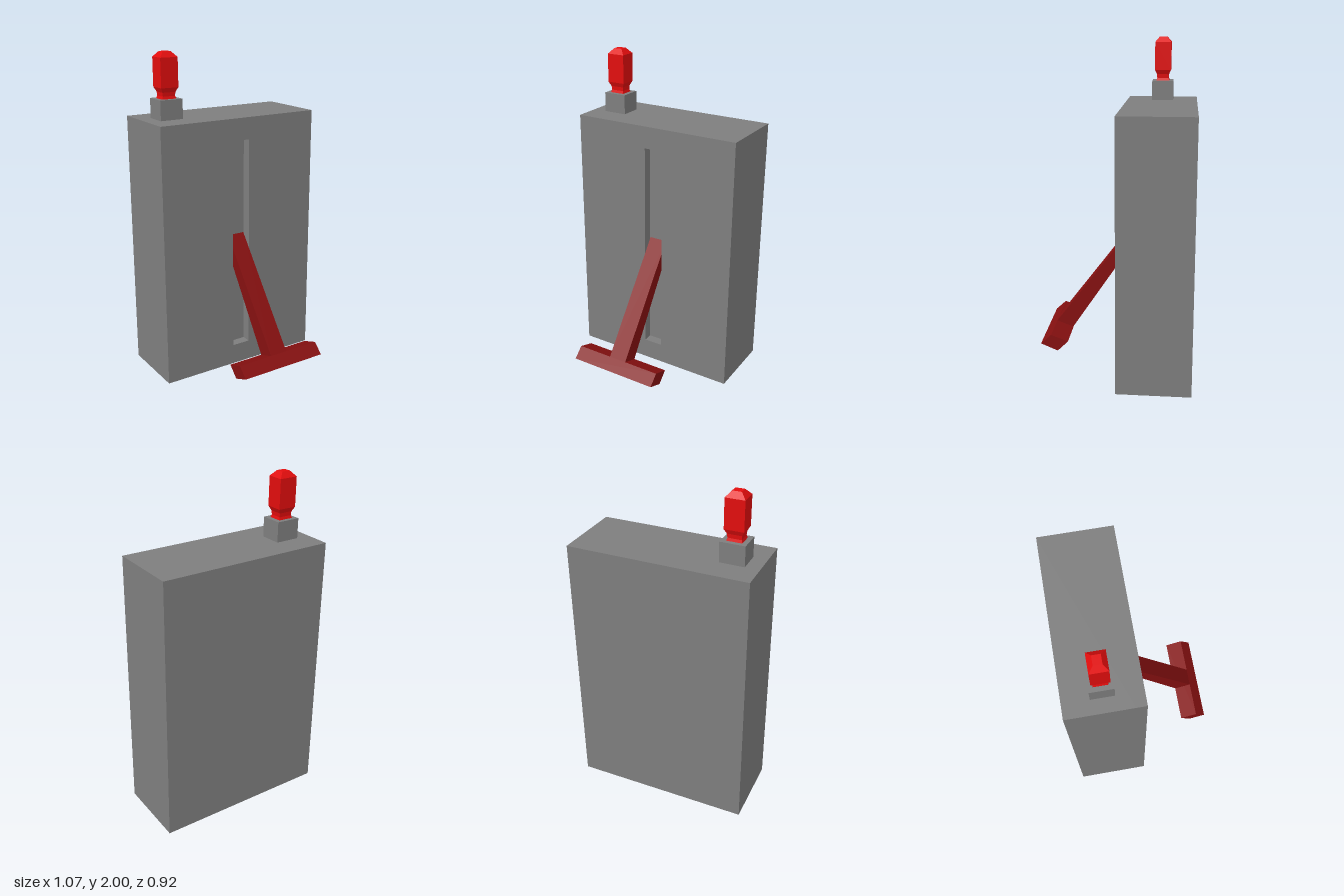
import * as THREE from 'three';

const material = (name, color, flatShading = false) => {
  const m = new THREE.MeshStandardMaterial({ color });
  m.name = name;
  m.flatShading = flatShading;
  return m;
};

export function createModel() {
  const group = new THREE.Group();
  const grey = material('grey casing', 0x7e7e7e);
  const darkRed = material('dark red lever', 0x851010);
  const red = material('bright red lamp', 0xe20d0d, true);

  const add = (name, geometry, mat, x = 0, y = 0, z = 0) => {
    const mesh = new THREE.Mesh(geometry, mat);
    mesh.name = name;
    mesh.position.set(x, y, z);
    group.add(mesh);
    return mesh;
  };
  const points = (list) => list.map(([a, b]) => new THREE.Vector2(a, b));
  const rectangle = (x, y0, y1) => points([[-x, y0], [x, y0], [x, y1], [-x, y1]]);

  // Casing: a solid back and a front plate with the lever slot cut through it
  add('casing', new THREE.BoxGeometry(1.066, 1.61, 0.38), grey, 0, 0.805, -0.27);
  const plate = new THREE.Shape(rectangle(0.533, 0, 1.61));
  plate.holes.push(new THREE.Path(rectangle(0.06, 0.13, 1.475)));
  add('slottedFront', new THREE.ExtrudeGeometry(plate, { depth: 0.06, bevelEnabled: false }), grey, 0, 0, -0.08);

  // Lever parts: (z, y) side profiles extruded across x
  const across = (profile, width) => new THREE.ExtrudeGeometry(
    new THREE.Shape(points(profile)), { depth: width, bevelEnabled: false },
  ).translate(0, 0, -width / 2).rotateY(-Math.PI / 2);
  add('leverArm', across([[-0.08, 0.76], [0.295, 0.2], [0.397, 0.238], [-0.08, 0.868]], 0.113), darkRed);
  add('leverHandle', across([[0.357, 0.137], [0.46, 0.18], [0.397, 0.238], [0.293, 0.2]], 0.558), darkRed);

  // Lamp on its square base: a four-sided lathe
  add('lampBase', new THREE.BoxGeometry(0.145, 0.12, 0.132), grey, -0.377, 1.669, -0.242);
  const profile = [[0, 1.727], [0.046, 1.727], [0.04, 1.745], [0.042, 1.768],
    [0.056, 1.795], [0.056, 1.968], [0.026, 2], [0, 2]];
  const lamp = new THREE.LatheGeometry(points(profile.map(([r, y]) => [r * Math.SQRT2, y])), 4, Math.PI / 4);
  add('lamp', lamp, red, -0.377, 0, -0.242).scale.z = 0.9;

  return group;
}
